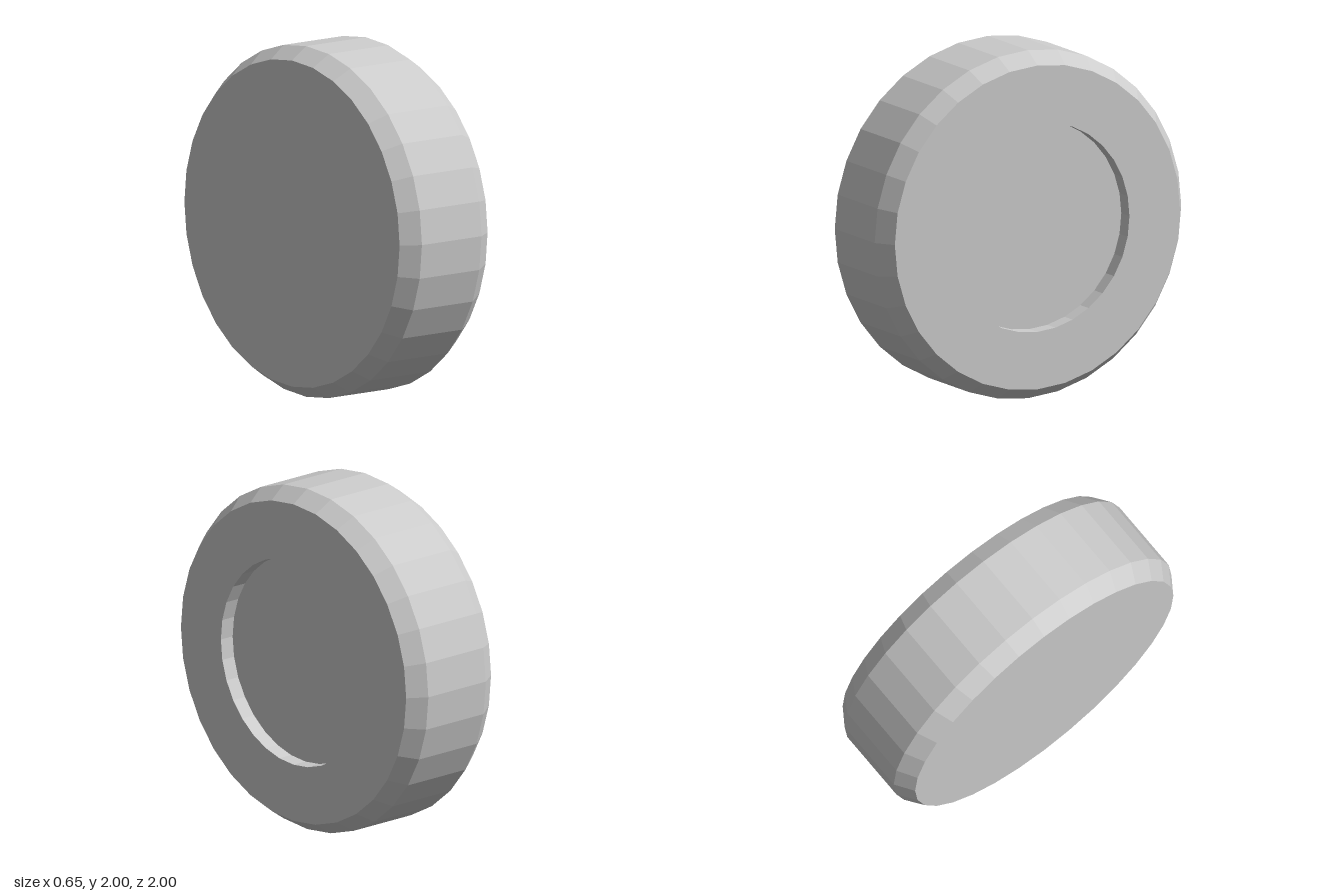
import * as THREE from 'three';

const SEGMENTS = 32;
const HALF_WIDTH = 0.325;   // half the thickness along x
const TREAD_HALF = 0.22;    // half the flat tread band
const FACE_RADIUS = 0.93;   // side faces inside the bevel
const HOLE_RADIUS = 0.6;
const HOLE_DEPTH = 0.09;

export function createModel() {
  const grey = new THREE.MeshStandardMaterial({ color: 0xcccccc, flatShading: true });
  grey.name = 'plain grey';

  const wheel = new THREE.Group();
  wheel.name = 'wheel';
  wheel.position.y = 1;

  const add = (name, geometry) => {
    const mesh = new THREE.Mesh(geometry, grey);
    mesh.name = name;
    wheel.add(mesh);
    return mesh;
  };

  // Bevelled tyre: profile (radius, offset along the axle), from the closed side to the recess floor
  const profile = [
    [FACE_RADIUS, -HALF_WIDTH],
    [1, -TREAD_HALF],
    [1, TREAD_HALF],
    [FACE_RADIUS, HALF_WIDTH],
    [HOLE_RADIUS, HALF_WIDTH],
    [HOLE_RADIUS, HALF_WIDTH - HOLE_DEPTH],
  ].map(([r, a]) => new THREE.Vector2(r, a));
  add('tyre', new THREE.LatheGeometry(profile, SEGMENTS).rotateZ(-Math.PI / 2));

  // Recessed hub on the left (+x) side
  const hub = add('hub', new THREE.CircleGeometry(HOLE_RADIUS, SEGMENTS).rotateY(Math.PI / 2));
  hub.position.x = HALF_WIDTH - HOLE_DEPTH;

  // Flat closed face on the right (-x) side
  const back = add('backFace', new THREE.CircleGeometry(FACE_RADIUS, SEGMENTS).rotateY(-Math.PI / 2));
  back.position.x = -HALF_WIDTH;

  return wheel;
}
